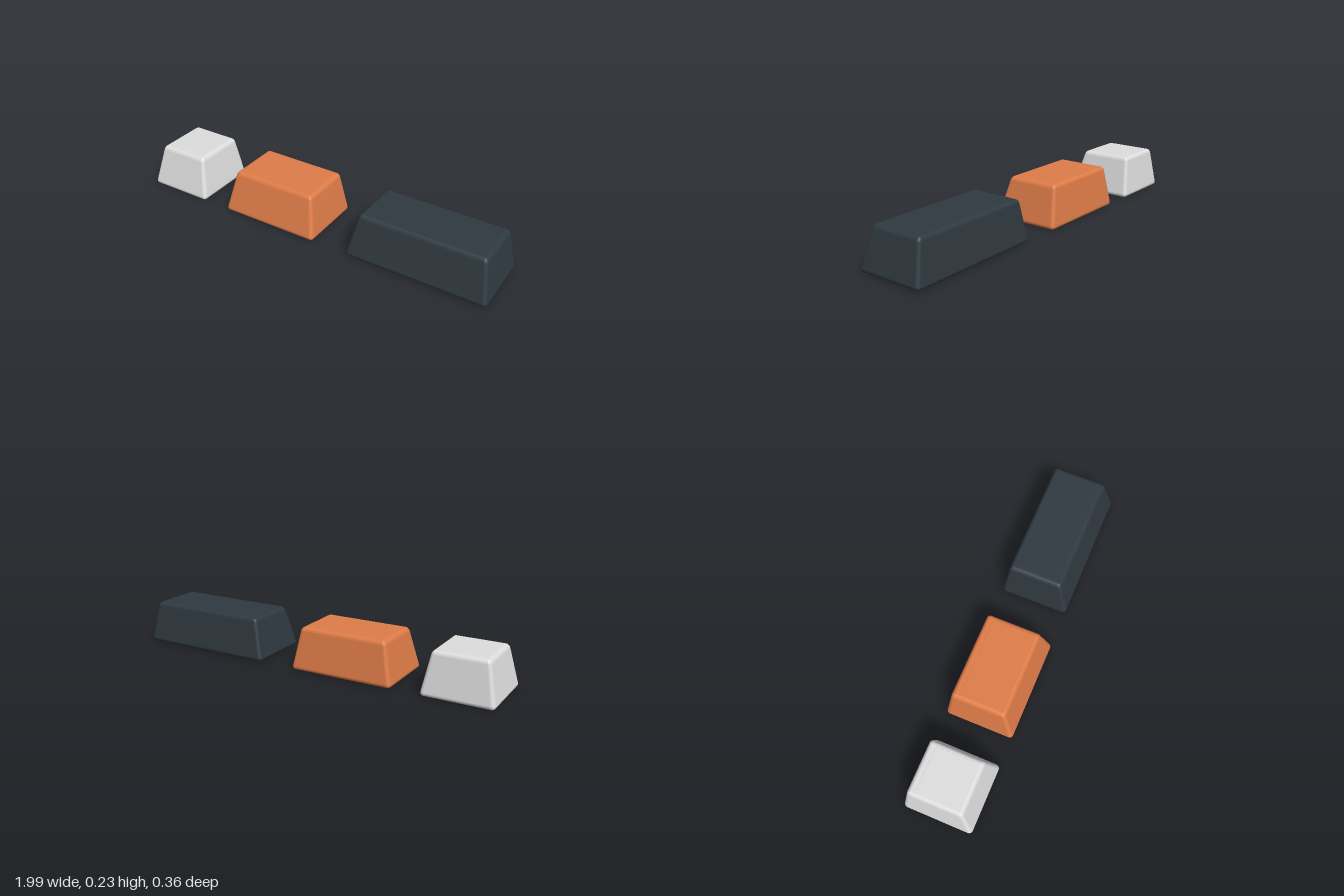
import * as THREE from 'three';
import { RoundedBoxGeometry } from 'three/addons/geometries/RoundedBoxGeometry.js';
import { mergeVertices } from 'three/addons/utils/BufferGeometryUtils.js';

const HEIGHT = 0.225, DEPTH = 0.37;
const SIDE_INSET = 0.046, FRONT_INSET = 0.06, BACK_INSET = 0.027;

const material = (name, color) => {
  const m = new THREE.MeshStandardMaterial({ color });
  m.name = name;
  return m;
};

// Rounded block whose sides lean inward, the front more than the back
function capGeometry(width) {
  const geo = new RoundedBoxGeometry(width, HEIGHT, DEPTH, 5, 0.022);
  geo.translate(0, HEIGHT / 2, 0);
  const p = geo.attributes.position;
  for (let i = 0; i < p.count; i++) {
    const t = p.getY(i) / HEIGHT;
    const x = p.getX(i), z = p.getZ(i);
    const zFront = DEPTH / 2 - FRONT_INSET * t;
    const zBack = -DEPTH / 2 + BACK_INSET * t;
    p.setX(i, x * (1 - (2 * SIDE_INSET * t) / width));
    p.setZ(i, zBack + (z / DEPTH + 0.5) * (zFront - zBack));
  }
  geo.deleteAttribute('normal');
  geo.deleteAttribute('uv');
  const smooth = mergeVertices(geo, 1e-5);
  smooth.computeVertexNormals();
  return smooth;
}

function keycap(name, x0, x1, mat) {
  const width = x1 - x0;
  const cap = new THREE.Group();
  cap.name = name;
  cap.position.x = (x0 + x1) / 2;

  const body = new THREE.Mesh(capGeometry(width), mat);
  body.name = 'capBody';

  // Thin finger pad, just proud of the top
  const pad = new THREE.Mesh(new RoundedBoxGeometry(width - 0.13, 0.006, 0.21, 2, 0.0025), mat);
  pad.name = 'topPad';
  pad.position.set(0, HEIGHT - 0.0022, -0.0165);

  cap.add(body, pad);
  return cap;
}

export function createModel() {
  const group = new THREE.Group();
  group.name = 'keycaps';
  group.add(
    keycap('smallKeycap', -1, -0.632, material('lightGrey', 0xdedede)),
    keycap('mediumKeycap', -0.49, 0.065, material('orange', 0xdf7c48)),
    keycap('wideKeycap', 0.25, 1, material('darkSlate', 0x2f3940))
  );
  return group;
}
